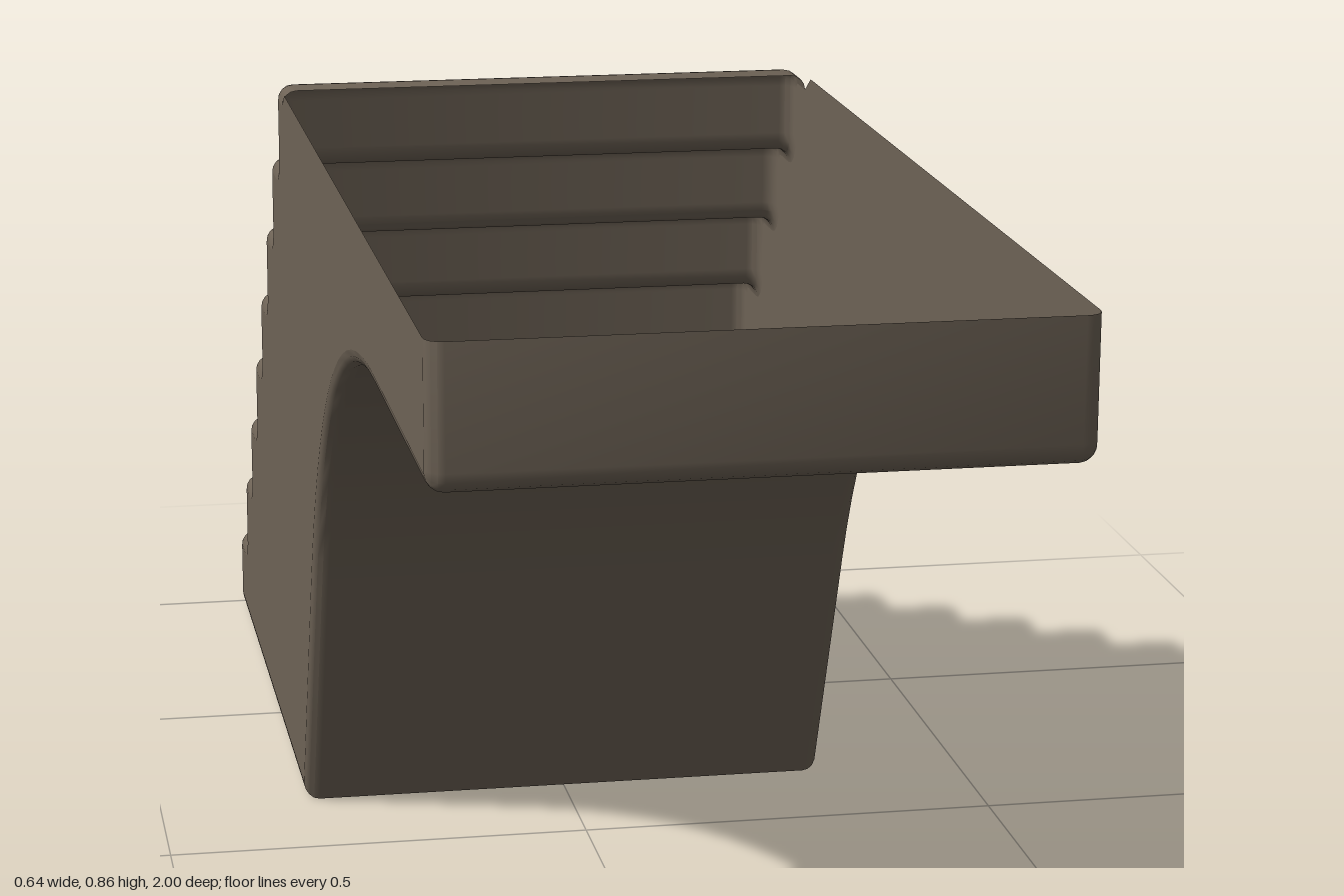
import * as THREE from 'three';
import { toCreasedNormals } from 'three/addons/utils/BufferGeometryUtils.js';

const HALF = 0.322, TOP = 0.86, UNDER = 0.712, R = 0.018, STEPS = 8;

// Outline in (z, y): top tread, stairs, base, arch, front lip. The deck is left open.
function outline() {
  const pts = [new THREE.Vector2(-0.285, TOP)];
  const corners = [];
  const rise = TOP / STEPS, run = 0.65 / (STEPS - 1);
  for (let i = 0; i < STEPS; i++) {
    const z = -0.35 - i * run, y = TOP - i * rise;
    corners.push(new THREE.Vector2(z, y));
    if (i < STEPS - 1) corners.push(new THREE.Vector2(z, y - rise));
  }
  corners.push(new THREE.Vector2(-1, 0));
  // round every stair corner
  for (let i = 0; i < corners.length - 1; i++) {
    const p = corners[i], prev = i ? corners[i - 1] : pts[0];
    addFillet(pts, prev, p, corners[i + 1], 0.024);
  }
  pts.push(new THREE.Vector2(-1, 0), new THREE.Vector2(-0.165, 0));
  const arch = new THREE.CubicBezierCurve(
    new THREE.Vector2(-0.03, 0.31), new THREE.Vector2(0.085, 0.575),
    new THREE.Vector2(0.3, UNDER), new THREE.Vector2(0.6, UNDER));
  pts.push(...arch.getPoints(18));
  const lip = new THREE.Vector2(1, UNDER), end = new THREE.Vector2(1, TOP);
  addFillet(pts, arch.v3, lip, end, 0.022);
  pts.push(end);
  return pts;
}

function addFillet(pts, a, p, b, r) {
  const s = p.clone().add(a.clone().sub(p).setLength(r));
  const e = p.clone().add(b.clone().sub(p).setLength(r));
  pts.push(...new THREE.QuadraticBezierCurve(s, p, e).getPoints(4));
}

// Outline moved inward by d with mitred corners
function inset(pts, d) {
  const normal = (a, b) => new THREE.Vector2(a.y - b.y, b.x - a.x).normalize();
  return pts.map((p, i) => {
    const n1 = normal(pts[Math.max(i - 1, 0)], pts[Math.max(i, 1)]);
    const last = pts.length - 1;
    const n2 = normal(pts[Math.min(i, last - 1)], pts[Math.min(i + 1, last)]);
    const k = d / (1 + n1.dot(n2));
    return p.clone().add(n1.add(n2).multiplyScalar(k));
  });
}

// Skin across the width, rounded over towards both sides
function skinGeometry(pts) {
  const columns = [], seg = 4;
  for (let i = 0; i <= seg; i++) {
    const a = (i / seg) * Math.PI / 2;
    columns.push({ x: -(HALF - R + R * Math.cos(a)), d: R * (1 - Math.sin(a)) });
  }
  for (let i = seg; i >= 0; i--) columns.push({ x: -columns[i].x, d: columns[i].d });
  const rings = columns.map(c => inset(pts, c.d));
  const n = columns.length, pos = [], idx = [];
  for (let i = 0; i < pts.length; i++) {
    for (let j = 0; j < n; j++) {
      pos.push(columns[j].x, rings[j][i].y, rings[j][i].x);
      if (i < pts.length - 1 && j < n - 1) {
        const a = i * n + j, c = a + n;
        idx.push(a, a + 1, c + 1, a, c + 1, c);
      }
    }
  }
  const g = new THREE.BufferGeometry();
  g.setAttribute('position', new THREE.Float32BufferAttribute(pos, 3));
  g.setIndex(idx);
  return toCreasedNormals(g, 0.7);
}

// Flat side wall rising to the open deck edge
function wallGeometry(pts, side) {
  const shape = new THREE.Shape([...inset(pts, R), new THREE.Vector2(-0.255, TOP)]);
  const g = new THREE.ShapeGeometry(shape);
  g.rotateY(-Math.PI / 2).translate(-HALF, 0, 0);
  if (side > 0) {
    g.scale(-1, 1, 1);
    g.index.array.reverse();
  }
  return g;
}

export function createModel() {
  const group = new THREE.Group();
  group.name = 'stairPlatform';
  const stone = new THREE.MeshStandardMaterial({ color: 0x6e6356, side: THREE.DoubleSide });
  stone.name = 'brownStone';
  const pts = outline();
  const add = (name, geometry) => {
    const mesh = new THREE.Mesh(geometry, stone);
    mesh.name = name;
    group.add(mesh);
  };
  add('stairsAndArch', skinGeometry(pts));
  add('rightWall', wallGeometry(pts, -1));
  add('leftWall', wallGeometry(pts, 1));
  return group;
}
